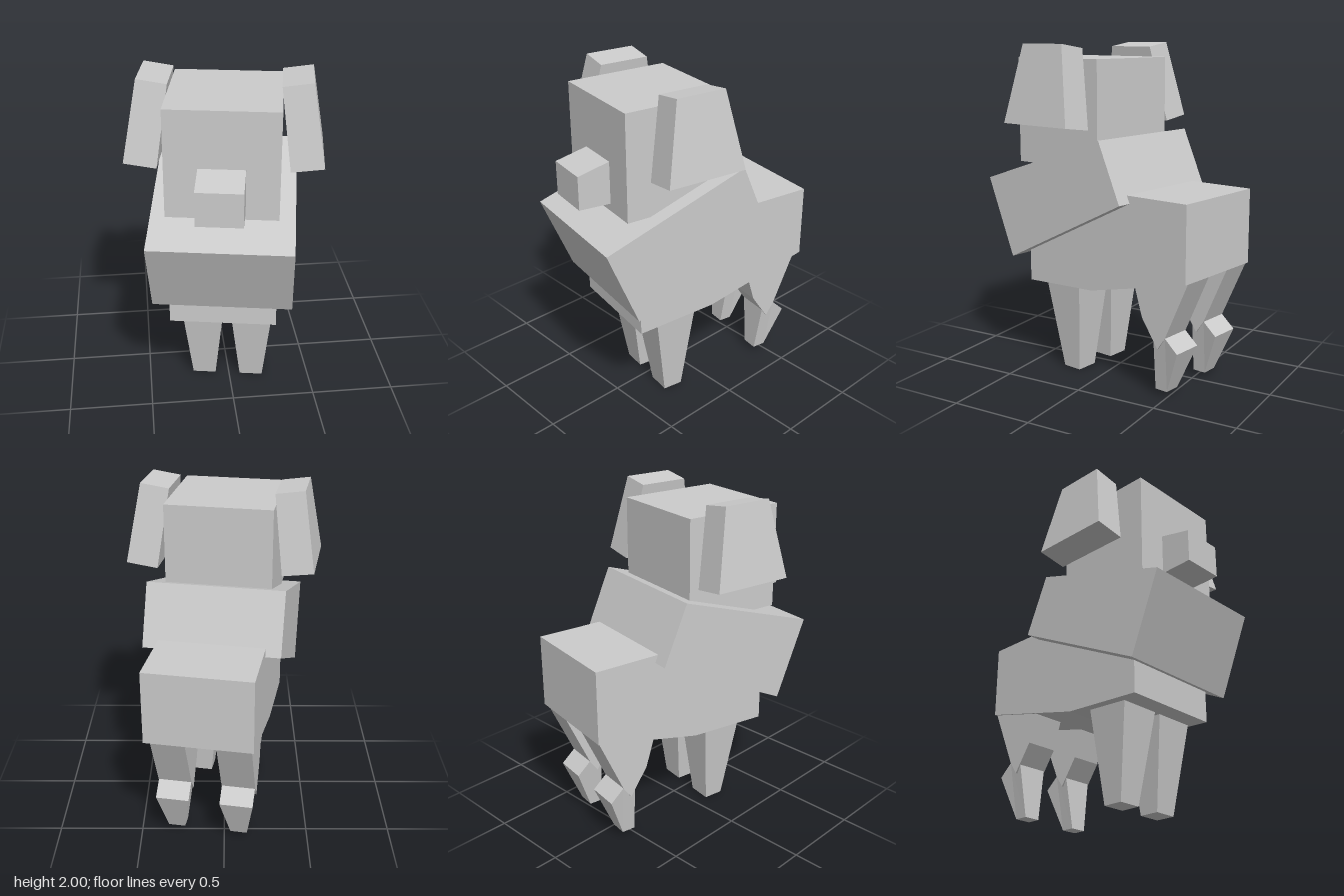
import * as THREE from 'three';

const material = new THREE.MeshStandardMaterial({ color: 0xcccccc, flatShading: true });

// Tapered prism: each profile point is [u, y, d0, d1], where d0..d1 is its depth range.
// sideways = true: u is z and depth is x; otherwise u is x and depth is z.
function prism(name, profile, sideways = true) {
  let pts = profile;
  if (THREE.ShapeUtils.isClockWise(pts.map(p => new THREE.Vector2(p[0], p[1])))) pts = [...pts].reverse();
  const contour = pts.map(p => new THREE.Vector2(p[0], p[1]));
  const at = (i, end) => {
    const [u, y, d0, d1] = pts[i];
    const d = end ? d1 : d0;
    return sideways ? [d, y, u] : [u, y, d];
  };
  const out = [];
  const tri = (a, b, c) => out.push(...a, ...(sideways ? [...c, ...b] : [...b, ...c]));
  for (const [a, b, c] of THREE.ShapeUtils.triangulateShape(contour, [])) {
    tri(at(a, 1), at(b, 1), at(c, 1));
    tri(at(a, 0), at(c, 0), at(b, 0));
  }
  pts.forEach((_, i) => {
    const j = (i + 1) % pts.length;
    tri(at(i, 0), at(j, 0), at(j, 1));
    tri(at(i, 0), at(j, 1), at(i, 1));
  });
  const geometry = new THREE.BufferGeometry();
  geometry.setAttribute('position', new THREE.Float32BufferAttribute(out, 3));
  geometry.computeVertexNormals();
  const mesh = new THREE.Mesh(geometry, material);
  mesh.name = name;
  return mesh;
}

// Same profile with a width around a centre line
const centred = (points, x) => points.map(([z, y, w]) => [z, y, x - w / 2, x + w / 2]);

export function createModel() {
  const model = new THREE.Group();
  model.name = 'dog';
  const dog = new THREE.Group();
  dog.name = 'turnedDog';
  dog.rotation.y = -THREE.MathUtils.degToRad(10);
  model.add(dog);
  const mid = 0.018;

  // Body with a belly rising to the rear
  dog.add(prism('body', centred([
    [0.454, 0.54, 0.63], [0.454, 1.0, 0.63], [-0.25, 1.17, 0.63],
    [-0.734, 1.17, 0.63], [-0.734, 0.725, 0.63], [-0.05, 0.565, 0.63],
  ], mid)));

  // Tilted chest block
  dog.add(prism('chest', centred([
    [0.712, 1.175, 0.812], [-0.192, 1.475, 0.812], [-0.344, 1.125, 0.812], [0.519, 0.7, 0.812],
  ], mid)));

  // Head and snout
  const head = new THREE.Mesh(new THREE.BoxGeometry(0.63, 0.63, 0.63), material);
  head.name = 'head';
  head.position.set(mid, 1.6, 0.21);
  dog.add(head);
  dog.add(prism('snout', centred([
    [0.72, 1.34, 0.26], [0.72, 1.54, 0.26], [0.51, 1.587, 0.26], [0.51, 1.33, 0.26],
  ], mid)));

  // Ears, flaring outward and widening downward
  for (const side of [1, -1]) {
    const ear = [
      [0.367, 1.52, -0.083, 0.407], [0.552, 1.545, -0.083, 0.407],
      [0.477, 2.0, 0.01, 0.315], [0.307, 1.975, 0.01, 0.315],
    ].map(([x, ...rest]) => [mid + side * x, ...rest]);
    dog.add(prism(side > 0 ? 'leftEar' : 'rightEar', ear, false));
  }

  // Tapered front legs
  for (const [side, x] of [['left', 0.183], ['right', -0.114]]) {
    dog.add(prism(side + 'FrontLeg', centred([
      [0.245, 0, 0.142], [0.338, 0.6, 0.268], [0.06, 0.6, 0.268], [0.123, 0, 0.142],
    ], x)));
  }

  // Hind legs: thigh, hock and tapered shank
  for (const [side, x] of [['left', 0.195], ['right', -0.185]]) {
    dog.add(prism(side + 'Thigh', centred([
      [-0.33, 0.72, 0.2], [-0.355, 0.63, 0.2], [-0.406, 0.465, 0.2],
      [-0.518, 0.3, 0.2], [-0.57, 0.375, 0.2], [-0.728, 0.73, 0.2],
    ], x)));
    dog.add(prism(side + 'Shank', centred([
      [-0.487, 0.37, 0.196], [-0.47, 0.035, 0.1], [-0.552, 0.035, 0.1],
      [-0.655, 0.3, 0.196], [-0.57, 0.375, 0.196],
    ], x)));
  }
  return model;
}
